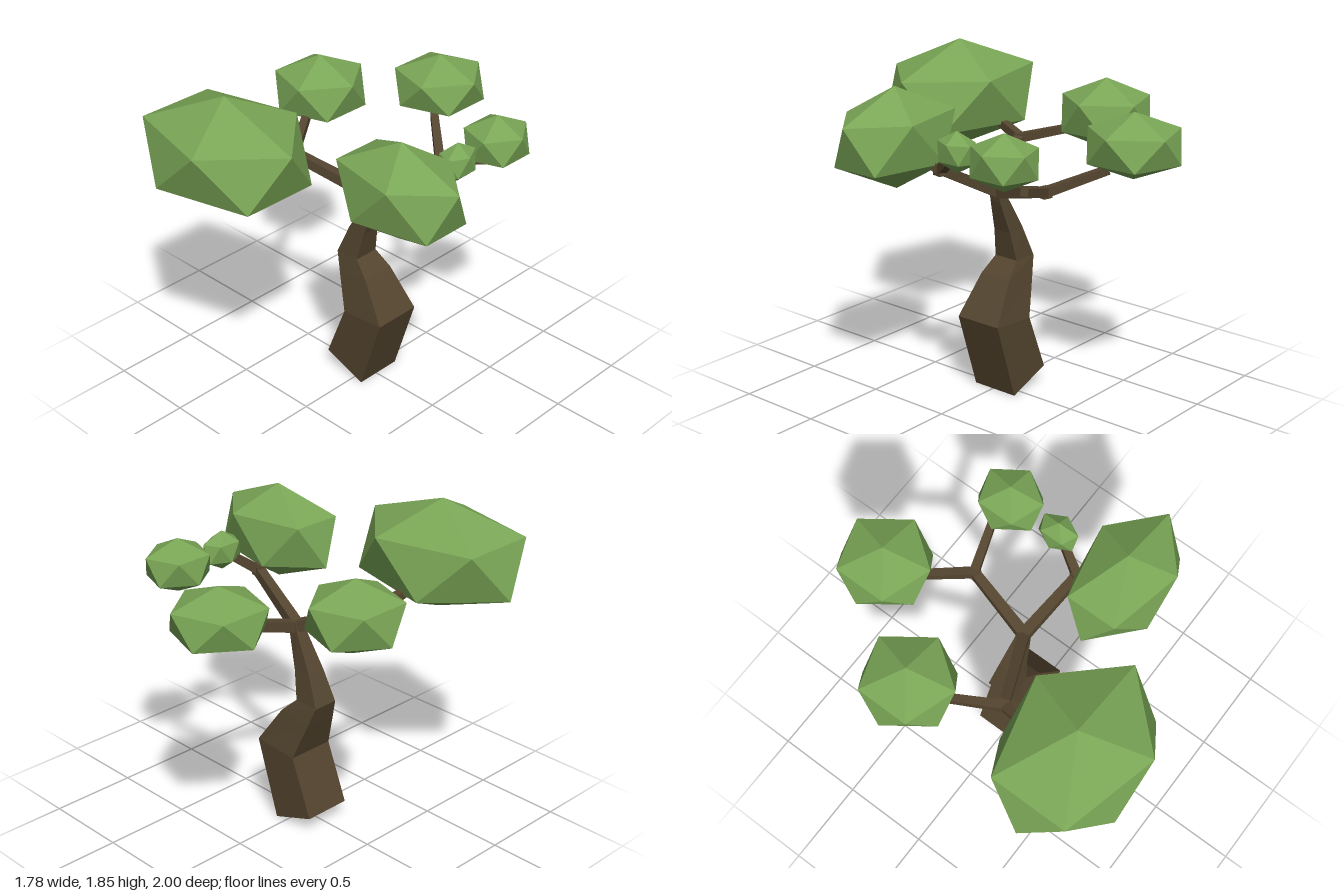
import * as THREE from 'three';
import { ConvexGeometry } from 'three/addons/geometries/ConvexGeometry.js';

const bark = new THREE.MeshStandardMaterial({ color: 0x54452f, flatShading: true });
const leaf = new THREE.MeshStandardMaterial({ color: 0x7aa656, flatShading: true });

// Crooked four-sided trunk lofted through tilted rings: [leftX, leftY, rightX, rightY, halfDepth]
function trunkGeometry() {
  const rings = [
    [-0.2, 0.1, 0.065, 0.003, 0.141],
    [-0.065, 0.435, 0.21, 0.455, 0.141],
    [-0.138, 0.64, 0.06, 0.68, 0.1],
    [-0.18, 0.76, -0.03, 0.765, 0.075],
    [-0.105, 0.94, 0.003, 0.93, 0.055],
    [0.01, 1.15, 0.06, 1.11, 0.034],
    [0.02, 1.19, 0.075, 1.18, 0.03],
  ];
  const zc = -0.015;
  const pos = [], idx = [];
  for (const [lx, ly, rx, ry, d] of rings) {
    pos.push(lx, ly, zc + d, rx, ry, zc + d, rx, ry, zc - d, lx, ly, zc - d);
  }
  for (let i = 0; i < rings.length - 1; i++) {
    for (let j = 0; j < 4; j++) {
      const a = i * 4 + j, b = i * 4 + (j + 1) % 4;
      idx.push(a, b, b + 4, a, b + 4, a + 4);
    }
  }
  const t = (rings.length - 1) * 4;
  idx.push(0, 2, 1, 0, 3, 2, t, t + 1, t + 2, t, t + 2, t + 3);
  const g = new THREE.BufferGeometry();
  g.setAttribute('position', new THREE.Float32BufferAttribute(pos, 3));
  g.setIndex(idx);
  const flat = g.toNonIndexed();
  flat.computeVertexNormals();
  return flat;
}

// Tapered square limb from point a to point b, with side widths wa and wb
function limb(name, a, b, wa, wb) {
  const from = new THREE.Vector3(...a), to = new THREE.Vector3(...b);
  const g = new THREE.CylinderGeometry(wb * Math.SQRT1_2, wa * Math.SQRT1_2, from.distanceTo(to), 4);
  g.rotateY(Math.PI / 4).rotateX(Math.PI / 2);
  const mesh = new THREE.Mesh(g, bark);
  mesh.name = name;
  mesh.position.copy(from).add(to).multiplyScalar(0.5);
  mesh.lookAt(to);
  return mesh;
}

// Twenty-sided leaf clump standing on a vertex; spans are half extents
function clump(name, [x, y, z], [hx, hy, hz]) {
  const pts = [new THREE.Vector3(0, hy, 0), new THREE.Vector3(0, -hy, 0)];
  for (let i = 0; i < 10; i++) {
    const a = i * Math.PI / 5;
    pts.push(new THREE.Vector3(Math.cos(a) * hx, (i % 2 ? -1 : 1) * hy * 0.447, Math.sin(a) * hz / 0.951));
  }
  const mesh = new THREE.Mesh(new ConvexGeometry(pts), leaf);
  mesh.name = name;
  mesh.position.set(x, y, z);
  return mesh;
}

export function createModel() {
  const tree = new THREE.Group();
  tree.name = 'tree';

  const trunk = new THREE.Mesh(trunkGeometry(), bark);
  trunk.name = 'trunk';
  tree.add(trunk);

  // Three main branches, each forking into two twigs
  const crown = [0.045, 1.165, -0.015];
  const branches = [
    ['rightBranch', [-0.385, 1.345, 0.18], [[-0.56, 1.42, -0.09], [-0.43, 1.43, 0.42]]],
    ['leftBranch', [0.42, 1.36, 0.055], [[0.49, 1.47, -0.09], [0.46, 1.43, 0.16]]],
    ['backBranch', [0.14, 1.265, -0.42], [[-0.105, 1.375, -0.645], [0.41, 1.345, -0.5]]],
  ];
  for (const [name, fork, tips] of branches) {
    tree.add(limb(name, crown, fork, 0.062, 0.052));
    const knot = new THREE.Mesh(new THREE.BoxGeometry(0.056, 0.056, 0.056), bark);
    knot.name = name + 'Knot';
    knot.position.set(...fork);
    knot.rotation.y = Math.atan2(fork[0] - crown[0], fork[2] - crown[2]);
    tree.add(knot);
    tips.forEach((tip, i) => tree.add(limb(name + 'Twig' + (i + 1), fork, tip, 0.05, 0.042)));
  }

  // Leaf clumps
  tree.add(
    clump('frontRightLeaves', [-0.4, 1.537, 0.64], [0.492, 0.313, 0.36]),
    clump('frontLeftLeaves', [0.508, 1.512, 0.292], [0.382, 0.277, 0.237]),
    clump('sideRightLeaves', [-0.615, 1.512, -0.25], [0.255, 0.203, 0.245]),
    clump('backLeaves', [-0.17, 1.51, -0.757], [0.255, 0.18, 0.243]),
    clump('backLeftLeaves', [0.507, 1.512, -0.45], [0.172, 0.152, 0.175]),
    clump('smallLeaves', [0.507, 1.51, -0.137], [0.083, 0.112, 0.11]),
  );
  return tree;
}
